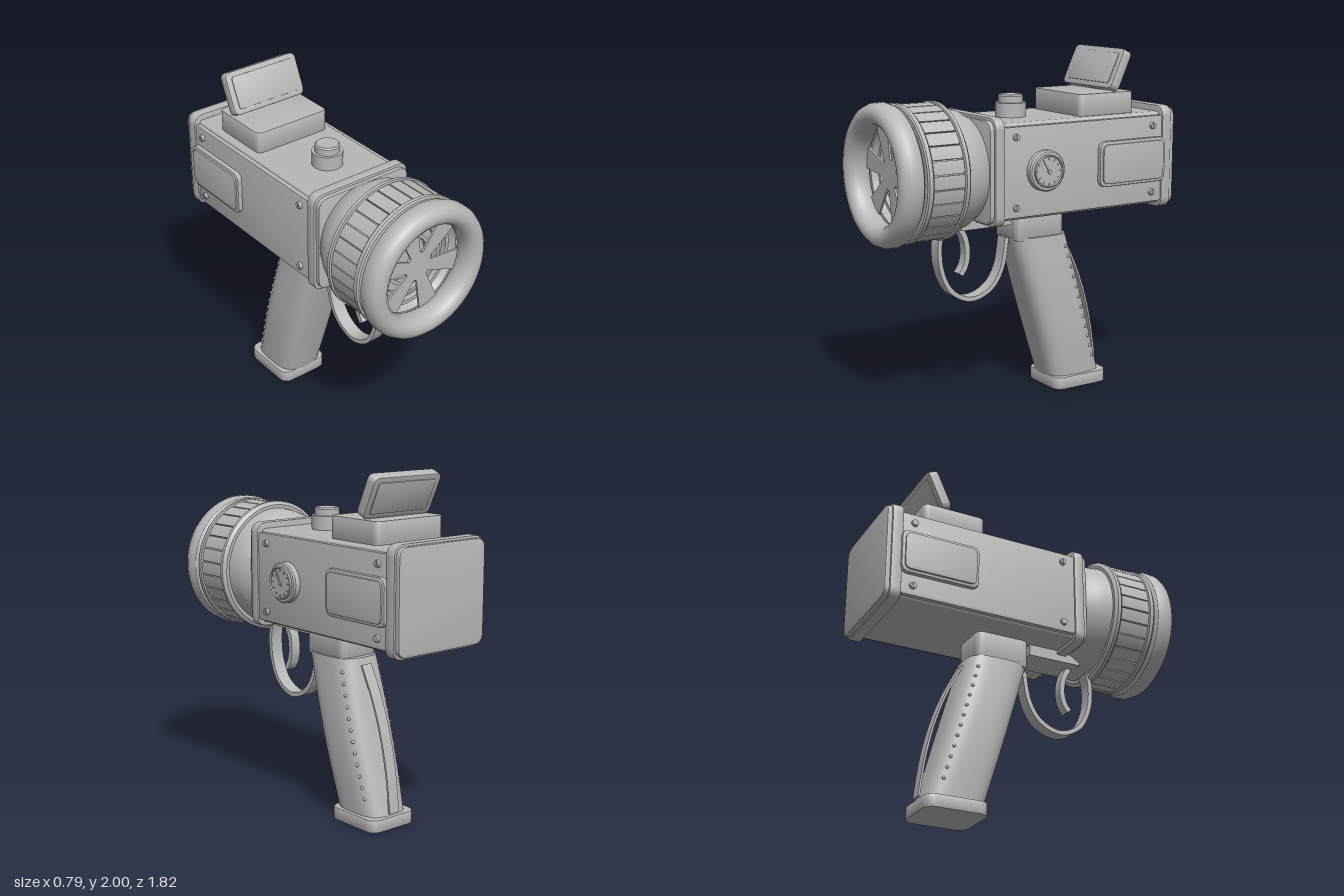
import * as THREE from 'three';
import { toCreasedNormals } from 'three/addons/utils/BufferGeometryUtils.js';
import { RoundedBoxGeometry } from 'three/addons/geometries/RoundedBoxGeometry.js';
import { ParametricGeometry } from 'three/addons/geometries/ParametricGeometry.js';

export function createModel() {
  const model = new THREE.Group();
  const grey = new THREE.MeshStandardMaterial({ color: 0xb8b8b8 });
  grey.name = 'matteGrey';
  const AXIS_Y = 1.36;

  function add(name, geometry, x = 0, y = 0, z = 0, parent = model) {
    const mesh = new THREE.Mesh(geometry, grey);
    mesh.name = name;
    mesh.position.set(x, y, z);
    parent.add(mesh);
    return mesh;
  }

  // Rounded rectangle plate, centred, thickness along z
  function plate(w, h, d, r, bevel = 0.006) {
    const a = w / 2 - bevel, b = h / 2 - bevel;
    const s = new THREE.Shape();
    s.moveTo(-a + r, -b);
    s.lineTo(a - r, -b); s.quadraticCurveTo(a, -b, a, -b + r);
    s.lineTo(a, b - r); s.quadraticCurveTo(a, b, a - r, b);
    s.lineTo(-a + r, b); s.quadraticCurveTo(-a, b, -a, b - r);
    s.lineTo(-a, -b + r); s.quadraticCurveTo(-a, -b, -a + r, -b);
    const g = new THREE.ExtrudeGeometry(s, {
      depth: d - 2 * bevel, bevelEnabled: true, bevelSize: bevel,
      bevelThickness: bevel, bevelSegments: 2, curveSegments: 8,
    });
    g.translate(0, 0, -d / 2 + bevel);
    return toCreasedNormals(g, 0.6);
  }

  // Turned part along z; points are [radius, z] running counter-clockwise
  function turned(points, segments = 72) {
    const g = new THREE.LatheGeometry(points.map(p => new THREE.Vector2(p[0], p[1])), segments);
    return toCreasedNormals(g.rotateX(Math.PI / 2), 0.6);
  }

  // Flat band following a side curve of [z, y] points, extruded across x
  function band(points, thick, width) {
    const curve = new THREE.SplineCurve(points.map(p => new THREE.Vector2(-p[0], p[1])));
    const near = [], far = [];
    for (let i = 0; i <= 32; i++) {
      const p = curve.getPoint(i / 32), t = curve.getTangent(i / 32);
      const n = new THREE.Vector2(-t.y, t.x).multiplyScalar(thick / 2);
      near.push(p.clone().add(n));
      far.unshift(p.clone().sub(n));
    }
    const g = new THREE.ExtrudeGeometry(new THREE.Shape([...near, ...far]), { depth: width, bevelEnabled: false });
    g.translate(0, 0, -width / 2).rotateY(Math.PI / 2);
    return toCreasedNormals(g, 0.6);
  }

  // Housing with end frames
  add('housing', new RoundedBoxGeometry(0.57, 0.54, 1.14, 3, 0.025), 0, 1.36, -0.27);
  add('frontFrame', plate(0.64, 0.6, 0.06, 0.06), 0, 1.365, 0.29);
  add('frontFrameLip', plate(0.61, 0.57, 0.03, 0.06), 0, 1.365, 0.33);
  add('rearFrame', plate(0.64, 0.6, 0.065, 0.06), 0, 1.365, -0.85);
  add('rearCap', plate(0.62, 0.575, 0.035, 0.05, 0.01), 0, 1.365, -0.893);

  // Side covers, raised panels and screws
  for (const side of [1, -1]) {
    const turn = g => g.rotateY(side * Math.PI / 2);
    add('sideCover', turn(plate(1.1, 0.505, 0.04, 0.02)), side * 0.29, 1.36, -0.28);
    add('sidePanel', turn(plate(0.465, 0.26, 0.03, 0.04)), side * 0.322, 1.36, -0.595);
    add('sidePanelFace', turn(plate(0.43, 0.225, 0.02, 0.035, 0.004)), side * 0.337, 1.36, -0.595);
    for (const z of [0.185, -0.75]) for (const y of [1.165, 1.555]) {
      add('screw', new THREE.CylinderGeometry(0.018, 0.021, 0.02, 20).rotateZ(-side * Math.PI / 2), side * 0.315, y, z);
      add('screwSlot', new THREE.BoxGeometry(0.004, 0.03, 0.006), side * 0.326, y, z);
    }
  }

  // Round gauge on the left side
  const gauge = new THREE.Group();
  gauge.name = 'gauge';
  gauge.position.set(0.31, AXIS_Y, 0);
  gauge.rotation.y = Math.PI / 2;
  model.add(gauge);
  add('gaugeBody', turned([[0, 0], [0.115, 0], [0.115, 0.03], [0.107, 0.038], [0.092, 0.04],
    [0.092, 0.052], [0.086, 0.055], [0.082, 0.048], [0, 0.048]], 48), 0, 0, 0, gauge);
  for (let i = 0; i < 12; i++) {
    const a = i * Math.PI / 6;
    const tick = add('gaugeTick', new THREE.BoxGeometry(0.005, 0.013, 0.006), Math.sin(a) * 0.07, Math.cos(a) * 0.07, 0.05, gauge);
    tick.rotation.z = -a;
  }
  const needle = add('gaugeNeedle', new THREE.BoxGeometry(0.009, 0.085, 0.006), -0.012, 0.02, 0.051, gauge);
  needle.rotation.z = 0.52;
  add('gaugePivot', new THREE.CylinderGeometry(0.011, 0.011, 0.012, 16).rotateX(Math.PI / 2), 0, 0, 0.051, gauge);

  // Top button
  add('buttonCollar', toCreasedNormals(new THREE.CylinderGeometry(0.087, 0.087, 0.09, 40), 0.6), 0, 1.665, 0.025);
  add('button', toCreasedNormals(new THREE.LatheGeometry([[0, 0], [0.07, 0], [0.07, 0.045], [0.062, 0.053], [0, 0.053]]
    .map(p => new THREE.Vector2(...p)), 40), 0.6), 0, 1.702, 0.025);

  // Display base and tilted screen
  add('displayBase', plate(0.48, 0.38, 0.14, 0.03).rotateX(-Math.PI / 2), 0, 1.685, -0.475);
  const screen = new THREE.Group();
  screen.name = 'screen';
  screen.position.set(0, 1.876, -0.572);
  screen.rotation.x = -0.43;
  model.add(screen);
  add('screenBody', plate(0.48, 0.245, 0.06, 0.03), 0, 0, 0, screen);
  add('screenGlass', plate(0.41, 0.185, 0.008, 0.015, 0.002), 0, 0, 0.031, screen);
  add('screenBack', plate(0.41, 0.185, 0.008, 0.015, 0.002), 0, 0, -0.031, screen);

  // Bell joining the housing to the barrel
  add('bell', turned([[0, 0.33], [0.29, 0.33], [0.305, 0.36], [0.33, 0.4], [0.34, 0.44], [0.348, 0.52], [0, 0.52]]), 0, AXIS_Y);

  // Barrel with rims and a stepped inner face
  add('barrel', turned([[0, 0.5], [0.365, 0.5], [0.385, 0.515], [0.385, 0.535], [0.364, 0.54],
    [0.364, 0.73], [0.385, 0.735], [0.385, 0.758], [0.375, 0.765], [0.29, 0.765], [0.27, 0.73], [0.25, 0.73],
    [0.25, 0.7], [0.215, 0.7], [0.215, 0.725], [0.195, 0.725], [0.195, 0.695], [0.15, 0.695],
    [0.15, 0.72], [0.13, 0.72], [0.13, 0.69], [0, 0.69]]), 0, AXIS_Y);

  // Raised slats around the barrel
  const slats = 30;
  for (let i = 0; i < slats; i++) {
    const a = i * 2 * Math.PI / slats, half = Math.PI / slats - 0.009;
    const s = new THREE.Shape();
    s.absarc(0, 0, 0.378, a - half, a + half, false);
    s.absarc(0, 0, 0.355, a + half, a - half, true);
    const g = new THREE.ExtrudeGeometry(s, { depth: 0.185, bevelEnabled: false, curveSegments: 4 });
    add('barrelSlat', toCreasedNormals(g, 0.6), 0, AXIS_Y, 0.543);
  }

  // Soft muzzle ring
  add('muzzleRing', turned([[0.29, 0.775], [0.365, 0.775], [0.385, 0.79], [0.395, 0.82], [0.393, 0.86], [0.38, 0.888],
    [0.36, 0.905], [0.335, 0.912], [0.31, 0.907], [0.288, 0.89], [0.275, 0.865], [0.27, 0.83], [0.275, 0.795], [0.29, 0.775]]), 0, AXIS_Y);

  // Fan of six blades with a toothed hub
  const blade = new THREE.Shape([[0.07, -0.033], [0.275, -0.062], [0.28, 0], [0.275, 0.062], [0.07, 0.033]]
    .map(p => new THREE.Vector2(...p)));
  for (let i = 0; i < 6; i++) {
    const g = new THREE.ExtrudeGeometry(blade, { depth: 0.012, bevelEnabled: false });
    add('fanBlade', g, 0, AXIS_Y, 0.785).rotation.z = 0.82 + i * Math.PI / 3;
  }
  add('fanHub', turned([[0, 0.78], [0.085, 0.78], [0.085, 0.797], [0, 0.797]], 36), 0, AXIS_Y);

  // Trigger, guard and mounting rail
  add('triggerRail', new THREE.BoxGeometry(0.2, 0.07, 0.33), 0, 1.06, 0.245);
  add('triggerGuard', band([[0.49, 1.04], [0.513, 0.93], [0.5, 0.79], [0.435, 0.665], [0.31, 0.607],
    [0.18, 0.655], [0.105, 0.77], [0.075, 0.94]], 0.026, 0.08), 0, 0, 0);
  add('trigger', band([[0.385, 1.04], [0.342, 0.96], [0.33, 0.87], [0.345, 0.8], [0.375, 0.755]], 0.032, 0.06));

  // Neck, raked grip and base
  add('neck', plate(0.255, 0.325, 0.18, 0.04).rotateX(-Math.PI / 2), 0, 1.015, -0.103);
  const gripAt = t => ({
    y: 0.06 + 0.88 * t,
    z: THREE.MathUtils.lerp(-0.372, -0.118, t),
    halfX: 0.142 + 0.02 * Math.sin(Math.PI * t),
    halfZ: THREE.MathUtils.lerp(0.176, 0.184, t),
  });
  const power = (v, e) => Math.sign(v) * Math.abs(v) ** e;
  const grip = new ParametricGeometry((u, v, target) => {
    const row = Math.round(v * 18), s = gripAt(THREE.MathUtils.clamp((row - 1) / 16, 0, 1));
    const k = row === 0 || row === 18 ? 0 : 1, a = u * 2 * Math.PI;
    target.set(k * s.halfX * power(Math.sin(a), 0.6), s.y, s.z + k * s.halfZ * power(Math.cos(a), 0.6));
  }, 48, 18);
  add('grip', toCreasedNormals(grip, 0.7));
  add('gripBase', plate(0.325, 0.37, 0.075, 0.06).rotateX(-Math.PI / 2), 0, 0.0375, -0.38);
  add('gripBackStrip', band([[-0.315, 0.9], [-0.405, 0.72], [-0.475, 0.53], [-0.525, 0.32], [-0.557, 0.09]], 0.012, 0.07));

  // Rows of studs on the grip sides
  for (let i = 0; i < 12; i++) {
    const t = THREE.MathUtils.lerp(0.915, 0.13, i / 11), s = gripAt(t);
    const c = -0.69, x = s.halfX * (1 - Math.abs(c) ** (2 / 0.6)) ** 0.3;
    for (const side of [1, -1])
      add('gripStud', new THREE.SphereGeometry(0.01, 10, 8), side * x, s.y, s.z + c * s.halfZ);
  }
  return model;
}
